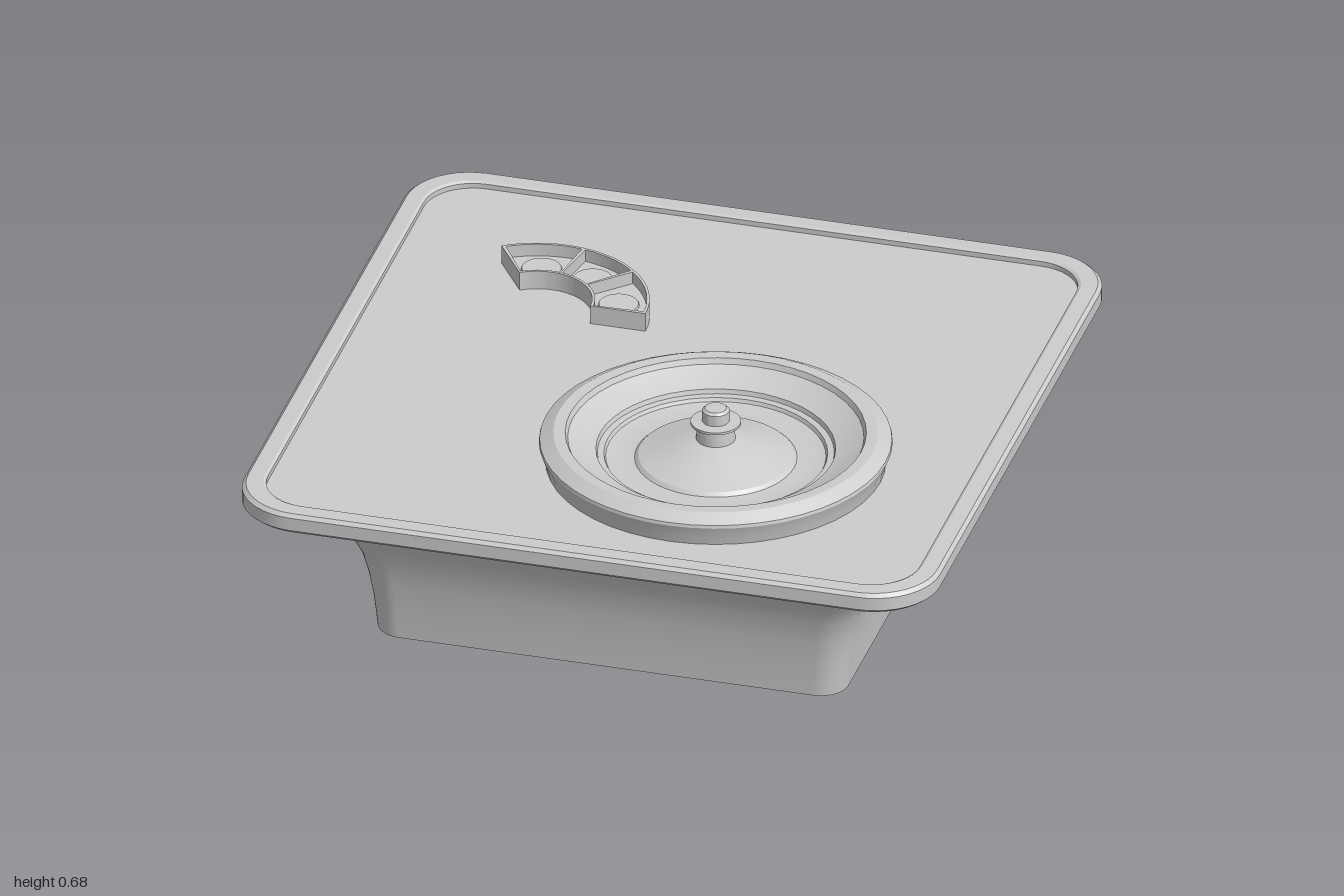
import * as THREE from 'three';
import { toCreasedNormals } from 'three/addons/utils/BufferGeometryUtils.js';

const CORNER_STEPS = 10;

// Outline of a rounded square as [x, z] pairs
function roundedSquare(half, radius) {
  const pts = [];
  for (let c = 0; c < 4; c++) {
    const mid = Math.PI / 4 + c * Math.PI / 2;
    const cx = Math.sign(Math.cos(mid)) * (half - radius);
    const cz = Math.sign(Math.sin(mid)) * (half - radius);
    for (let i = 0; i <= CORNER_STEPS; i++) {
      const a = (c + i / CORNER_STEPS) * Math.PI / 2;
      pts.push([cx + radius * Math.cos(a), cz + radius * Math.sin(a)]);
    }
  }
  return pts;
}

// Skin through rounded squares given as [half width, y, corner radius]
function loft(profile, crease) {
  const pos = [], index = [];
  const n = 4 * (CORNER_STEPS + 1);
  for (const [half, y, radius] of profile) {
    for (const [x, z] of roundedSquare(half, radius)) pos.push(x, y, z);
  }
  for (let i = 0; i < profile.length - 1; i++) {
    for (let k = 0; k < n; k++) {
      const a = i * n + k, b = i * n + (k + 1) % n;
      index.push(a, a + n, b, b, a + n, b + n);
    }
  }
  const g = new THREE.BufferGeometry();
  g.setAttribute('position', new THREE.Float32BufferAttribute(pos, 3));
  g.setIndex(index);
  g.computeVertexNormals();
  return toCreasedNormals(g, crease);
}

// Flat shape raised from y to y + height
function slab(shape, y, height) {
  const g = new THREE.ExtrudeGeometry(shape, { depth: height, bevelEnabled: false, curveSegments: 24 });
  g.rotateX(-Math.PI / 2);
  g.translate(0, y, 0);
  return toCreasedNormals(g, 0.6);
}

// Ring segment between two radii and two angles in degrees
function sector(r0, r1, deg0, deg1, y, height) {
  const a0 = THREE.MathUtils.degToRad(deg0), a1 = THREE.MathUtils.degToRad(deg1);
  const s = new THREE.Shape();
  s.absarc(0, 0, r1, a0, a1, false);
  s.absarc(0, 0, r0, a1, a0, true);
  s.closePath();
  return slab(s, y, height);
}

function turned(points, segments) {
  const g = new THREE.LatheGeometry(points.map(([r, y]) => new THREE.Vector2(r, y)), segments);
  return toCreasedNormals(g, 0.45);
}

export function createModel() {
  const model = new THREE.Group();
  model.name = 'rouletteTable';
  const grey = new THREE.MeshStandardMaterial({ color: 0xcccccc, side: THREE.DoubleSide });
  grey.name = 'lightGrey';

  const add = (parent, name, geometry, x = 0, y = 0, z = 0) => {
    const mesh = new THREE.Mesh(geometry, grey);
    mesh.name = name;
    mesh.position.set(x, y, z);
    parent.add(mesh);
    return mesh;
  };

  // Flared base, open above and below
  add(model, 'base', loft([
    [0.675, 0, 0.08], [0.685, 0.1, 0.085], [0.698, 0.18, 0.09], [0.714, 0.25, 0.095],
    [0.735, 0.3, 0.1], [0.762, 0.35, 0.105], [0.793, 0.405, 0.11], [0.828, 0.462, 0.115],
  ], 0.7));

  // Raised rim around the table top
  add(model, 'rim', loft([
    [0.99, 0.475, 0.18], [1, 0.485, 0.185], [1, 0.524, 0.185], [0.99, 0.534, 0.18],
    [0.945, 0.535, 0.145], [0.937, 0.53, 0.14], [0.937, 0.478, 0.14], [0.99, 0.475, 0.18],
  ], 0.5));

  // Table top with an opening for the wheel
  const wheelX = 0.225, wheelZ = 0.352;
  const top = new THREE.Shape(roundedSquare(0.938, 0.14).map(([x, z]) => new THREE.Vector2(x, z)));
  const opening = new THREE.Path();
  opening.absarc(wheelX, -wheelZ, 0.46, 0, Math.PI * 2, true);
  top.holes.push(opening);
  add(model, 'tableTop', slab(top, 0.5, 0.015));

  // Wheel: bowl with stepped inside and a central cone, then the spindle
  const wheel = new THREE.Group();
  wheel.name = 'wheel';
  wheel.position.set(wheelX, 0, wheelZ);
  model.add(wheel);
  add(wheel, 'wheelBowl', turned([
    [0, 0.465], [0.465, 0.465], [0.475, 0.535], [0.49, 0.575], [0.488, 0.584], [0.45, 0.605],
    [0.417, 0.604], [0.41, 0.588], [0.37, 0.567], [0.332, 0.553], [0.328, 0.54], [0.31, 0.538],
    [0.305, 0.528], [0.27, 0.522], [0.225, 0.525], [0.215, 0.535], [0.14, 0.558], [0.07, 0.585], [0, 0.59],
  ], 48));
  add(wheel, 'spindle', turned([
    [0.055, 0.575], [0.053, 0.628], [0.07, 0.634], [0.07, 0.641], [0.038, 0.643],
    [0.038, 0.675], [0.03, 0.682], [0, 0.683],
  ], 32));

  // Curved tray with three compartments
  const tray = new THREE.Group();
  tray.name = 'chipTray';
  tray.position.set(-0.47, 0, -0.29);
  model.add(tray);
  const low = 0.512, high = 0.571, inner = 0.153, outer = 0.312, end = 124;
  add(tray, 'trayFloor', sector(inner, outer, 0, end, low, 0.022));
  add(tray, 'outerWall', sector(outer - 0.008, outer, 0, end, low, high - low));
  add(tray, 'innerWall', sector(inner, inner + 0.008, 0, end, low, high - low));
  for (const a of [0, 45, 79.5, end - 2]) {
    add(tray, 'divider', sector(inner, outer, a, a + 2, low, high - low));
  }
  for (const a of [22.5, 63, 102.5]) {
    const rad = THREE.MathUtils.degToRad(a), r = 0.228;
    add(tray, 'chip', new THREE.CylinderGeometry(0.055, 0.058, 0.008, 24),
      r * Math.cos(rad), 0.536, -r * Math.sin(rad));
  }
  return model;
}
